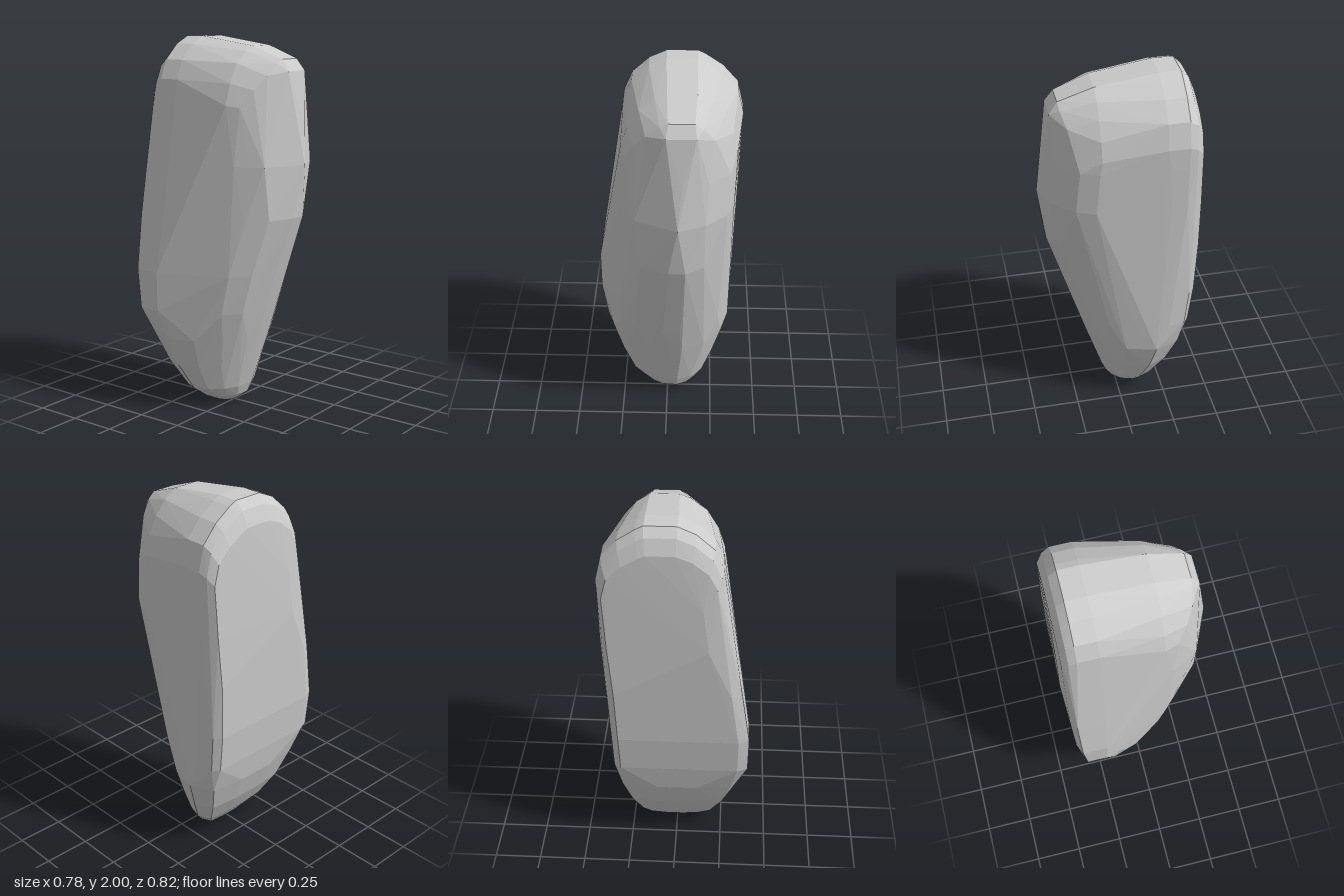
import * as THREE from 'three';
import { ConvexGeometry } from 'three/addons/geometries/ConvexGeometry.js';

// Section outlines: across (-1 right .. 1 left side), depth (0 back .. 1 front)
const BOTTOM = [
  [-1, 0.3], [-0.87, 0.58], [-0.6, 0.82], [-0.25, 0.97], [0.25, 1], [0.6, 0.87],
  [0.88, 0.62], [1, 0.3], [0.85, 0.04], [0.3, 0], [-0.3, 0], [-0.85, 0.04],
];
const MIDDLE = [
  [-1, 0.24], [-0.63, 0.8], [-0.4, 0.93], [0, 1], [0.25, 1], [0.52, 0.92],
  [0.82, 0.74], [0.95, 0.5], [1, 0.2], [0.95, 0.05], [0.85, 0], [-0.85, 0], [-1, 0.04],
];
const UPPER = [
  [-1, 0.15], [-0.82, 0.71], [-0.7, 0.8], [-0.59, 0.88], [0.06, 1], [0.47, 0.93],
  [0.79, 0.8], [0.9, 0.68], [1, 0.22], [1, 0.12], [0.88, 0.02], [-0.62, 0], [-0.94, 0.04],
];

// Horizontal sections: outline, y, min x, max x, back z, front z
const SECTIONS = [
  [BOTTOM, 0.0, -0.06, 0.07, -0.10, 0.0],
  [BOTTOM, 0.04, -0.14, 0.17, -0.145, 0.05],
  [BOTTOM, 0.1, -0.22, 0.225, -0.19, 0.075],
  [BOTTOM, 0.24, -0.295, 0.29, -0.27, 0.115],
  [BOTTOM, 0.4, -0.352, 0.345, -0.33, 0.17],
  [MIDDLE, 0.56, -0.388, 0.35, -0.362, 0.22],
  [MIDDLE, 0.77, -0.39, 0.358, -0.385, 0.283],
  [MIDDLE, 1.07, -0.345, 0.368, -0.395, 0.375],
  [UPPER, 1.35, -0.30, 0.38, -0.407, 0.41],
  [UPPER, 1.58, -0.265, 0.387, -0.4, 0.38],
];

// Arched outlines of the rounded top: x, y at the back and halfway forward
const BACK_ARCH = [
  [-0.255, 1.65], [-0.235, 1.78], [-0.19, 1.88], [-0.1, 1.96], [-0.01, 2.0],
  [0.15, 2.0], [0.19, 1.98], [0.28, 1.92], [0.36, 1.83], [0.39, 1.7],
];
const MIDDLE_ARCH = [
  [-0.235, 1.66], [-0.2, 1.77], [-0.14, 1.87], [-0.06, 1.93], [0, 1.955],
  [0.15, 1.955], [0.22, 1.91], [0.28, 1.84], [0.33, 1.75], [0.355, 1.65],
];

// Front end of the top: x, y, z
const FRONT_ARCH = [
  [-0.21, 1.65, 0.19], [-0.16, 1.74, 0.24], [-0.1, 1.81, 0.28], [-0.03, 1.87, 0.295],
  [0.01, 1.89, 0.3], [0.14, 1.89, 0.3], [0.18, 1.86, 0.295], [0.24, 1.79, 0.27],
  [0.29, 1.7, 0.22], [0, 1.83, 0.343], [0.15, 1.83, 0.343],
];

export function createModel() {
  const group = new THREE.Group();
  group.name = 'stone';

  const points = [];
  const add = (x, y, z) => points.push(new THREE.Vector3(x, y, z));

  // Tapering body
  for (const [outline, y, x0, x1, z0, z1] of SECTIONS) {
    for (const [u, v] of outline) {
      add((x0 + x1) / 2 + (u * (x1 - x0)) / 2, y, z0 + v * (z1 - z0));
    }
  }

  // Rounded top, with two shrinking arches that soften the back edge
  for (const [x, y] of BACK_ARCH) {
    add(x, y, -0.2);
    add(x, y, -0.31);
    add(0.06 + (x - 0.06) * 0.97, 1.4 + (y - 1.4) * 0.93, -0.352);
    add(0.06 + (x - 0.06) * 0.9, 1.4 + (y - 1.4) * 0.8, -0.384);
  }
  for (const [x, y] of MIDDLE_ARCH) add(x, y, 0.12);
  for (const [x, y, z] of FRONT_ARCH) add(x, y, z);

  const body = new THREE.Mesh(
    new ConvexGeometry(points),
    new THREE.MeshStandardMaterial({ color: 0xcccccc, flatShading: true }));
  body.name = 'stoneBody';
  group.add(body);
  return group;
}
